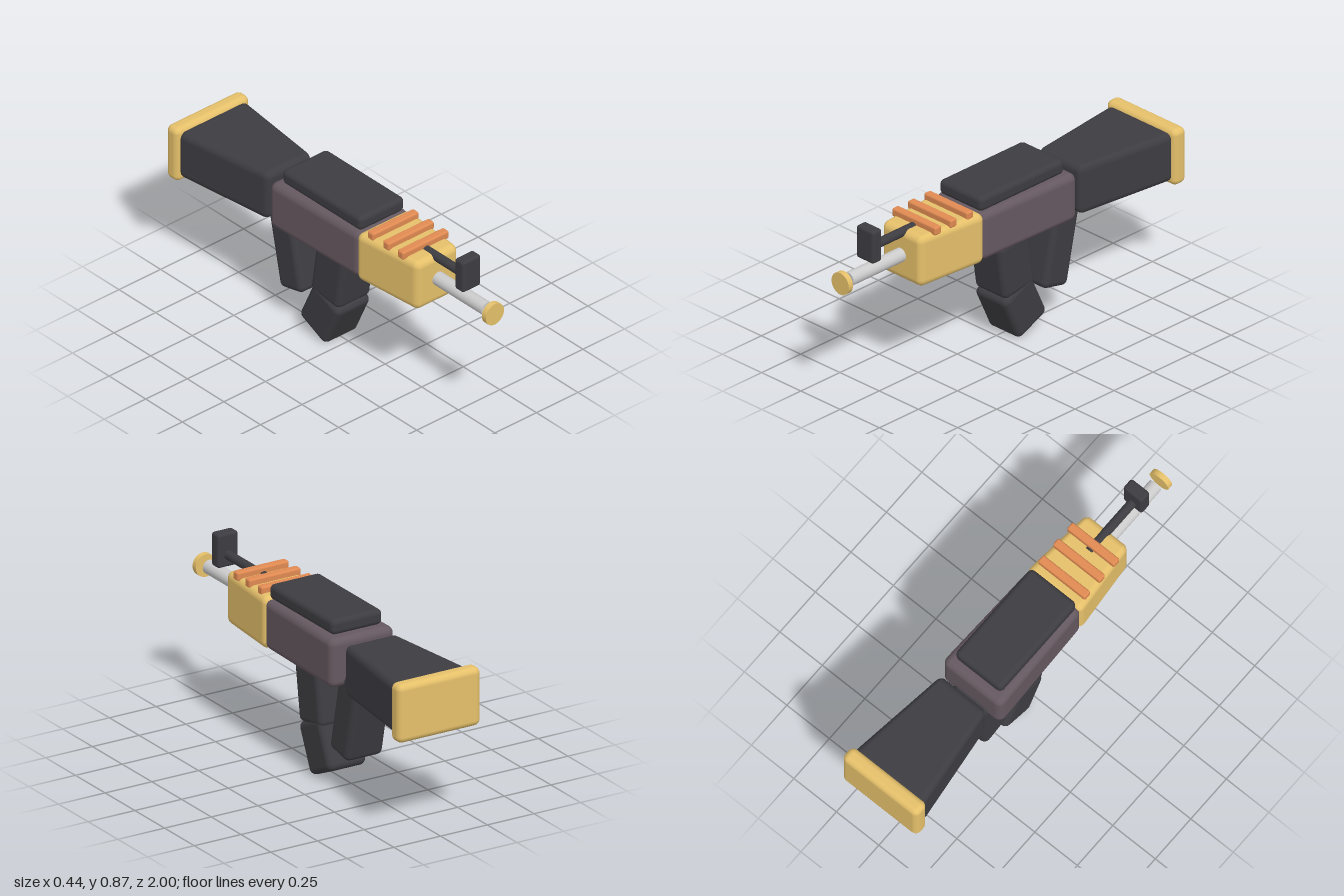
import * as THREE from 'three';
import { RoundedBoxGeometry } from 'three/addons/geometries/RoundedBoxGeometry.js';

const mat = (color) => new THREE.MeshStandardMaterial({ color });

// Scales the width linearly along z, from back to front, and corrects the normals
function taper(geo, depth, back, front) {
  const p = geo.attributes.position, n = geo.attributes.normal;
  const slope = (front - back) / depth;
  const v = new THREE.Vector3();
  for (let i = 0; i < p.count; i++) {
    const x = p.getX(i), s = back + slope * (p.getZ(i) + depth / 2);
    v.fromBufferAttribute(n, i);
    v.set(v.x / s, v.y, v.z - (v.x * x * slope) / s).normalize();
    n.setXYZ(i, v.x, v.y, v.z);
    p.setX(i, x * s);
  }
  return geo;
}

export function createModel() {
  const group = new THREE.Group();
  const dark = mat(0x3d3c41), gold = mat(0xe5c06a), plum = mat(0x655860);
  const orange = mat(0xe08a52), grey = mat(0xcccccc);

  const add = (name, geo, material, y, z, tilt = 0) => {
    const mesh = new THREE.Mesh(geo, material);
    mesh.name = name;
    mesh.position.set(0, y, z);
    mesh.rotation.x = tilt;
    group.add(mesh);
    return mesh;
  };
  const box = (w, h, d, r) => new RoundedBoxGeometry(w, h, d, 4, r);
  const rod = (r, len) => new THREE.CylinderGeometry(r, r, len, 32).rotateX(Math.PI / 2);

  // Shoulder stock, widening to the rear, with its end pad
  add('stockPad', box(0.444, 0.285, 0.08, 0.03), gold, 0.642, -0.96);
  add('stock', taper(box(0.41, 0.247, 0.54, 0.035), 0.54, 1, 0.66), dark, 0.643, -0.67);

  // Main body and top cover
  add('receiver', taper(box(0.346, 0.24, 0.595, 0.035), 0.595, 1, 0.9), plum, 0.653, -0.053);
  add('topCover', box(0.272, 0.075, 0.54, 0.025), dark, 0.81, -0.035);

  // Handguard and its cross ribs
  add('handguard', taper(box(0.32, 0.255, 0.385, 0.035), 0.385, 1, 0.78), gold, 0.653, 0.42);
  for (const z of [0.305, 0.41, 0.51]) {
    add('handguardRib', box(0.278, 0.042, 0.042, 0.01), orange, 0.79, z);
  }

  // Barrel with a separate end disc
  add('barrel', rod(0.034, 0.37), grey, 0.655, 0.762);
  add('muzzleDisc', rod(0.055, 0.027), gold, 0.652, 0.9865);

  // Front sight on its rod
  add('sightRod', rod(0.022, 0.33), dark, 0.768, 0.645);
  add('frontSight', box(0.11, 0.165, 0.06, 0.014), dark, 0.792, 0.815);

  // Rear grip and two-piece bent magazine
  add('grip', box(0.2, 0.42, 0.158, 0.03), dark, 0.386, -0.33, -0.21);
  add('magazineUpper', box(0.204, 0.285, 0.198, 0.03), dark, 0.389, -0.037, 0.145);
  add('magazineLower', box(0.204, 0.25, 0.2, 0.03), dark, 0.155, -0.092, 0.43);

  return group;
}
